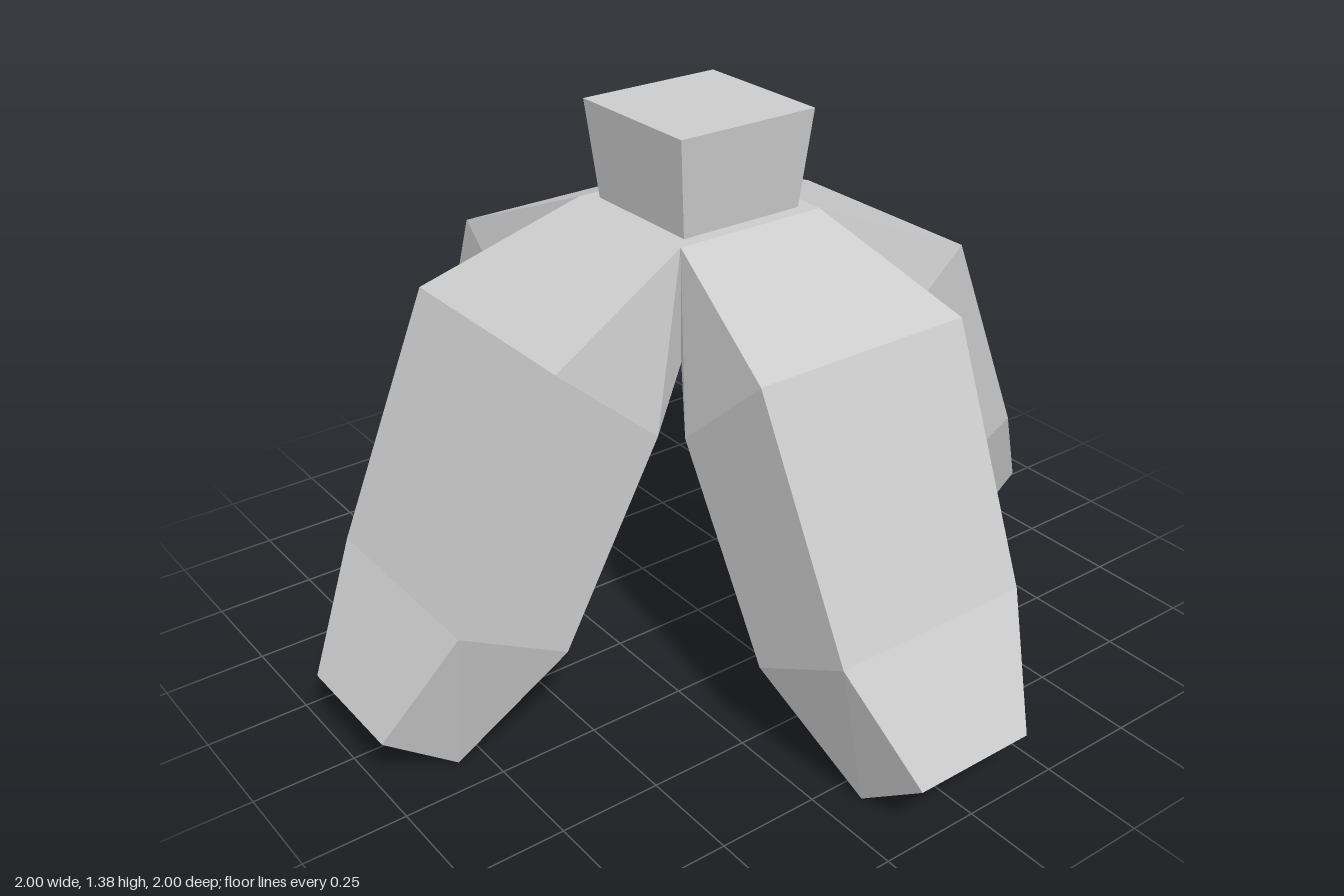
import * as THREE from 'three';

const grey = new THREE.MeshStandardMaterial({ color: 0xcccccc });
grey.name = 'light grey';

// Flat-shaded skin over four-cornered rings, closed at the last ring
function loft(name, rings) {
  const pos = [];
  const tri = (...pts) => pts.forEach((p) => pos.push(...p));
  for (let r = 0; r < rings.length - 1; r++) {
    const a = rings[r], b = rings[r + 1];
    for (let i = 0; i < 4; i++) {
      const j = (i + 1) % 4;
      if (i === 3) { // mirrored diagonal keeps both sides symmetric
        tri(a[i], b[i], a[j]);
        tri(b[i], b[j], a[j]);
      } else {
        tri(a[i], b[i], b[j]);
        tri(a[i], b[j], a[j]);
      }
    }
  }
  const e = rings[rings.length - 1];
  tri(e[0], e[3], e[2]);
  tri(e[0], e[2], e[1]);
  const geo = new THREE.BufferGeometry();
  geo.setAttribute('position', new THREE.Float32BufferAttribute(pos, 3));
  geo.computeVertexNormals();
  const mesh = new THREE.Mesh(geo, grey);
  mesh.name = name;
  return mesh;
}

// Horizontal square ring
const square = (w, y) => [[-w, y, -w], [w, y, -w], [w, y, w], [-w, y, w]];

// Slanted limb section: outer edge and inner edge as (reach, height)
const section = (w, outer, inner) => [
  [-w, outer[1], outer[0]], [w, outer[1], outer[0]],
  [w, inner[1], inner[0]], [-w, inner[1], inner[0]],
];

export function createModel() {
  const group = new THREE.Group();
  group.name = 'fourLeggedBody';

  // Shoulder deck and flared neck
  group.add(loft('neck', [square(0.2, 1.14), square(0.165, 1.14), square(0.188, 1.38)]));

  // Stepped recess on the underside, facing down
  const steps = [[0.2, 0.86], [0.2, 0.89], [0.08, 0.89], [0.08, 0.98]];
  group.add(loft('bellyRecess', steps.map(([w, y]) => square(w, y).reverse())));

  // Four identical bent legs
  const names = ['frontLeg', 'leftLeg', 'backLeg', 'rightLeg'];
  names.forEach((name, i) => {
    const leg = loft(name, [
      section(0.2, [0.2, 1.14], [0.2, 0.86]),
      section(0.287, [0.59, 0.98], [0.33, 0.75]),
      section(0.26, [0.845, 0.41], [0.57, 0.26]),
      section(0.16, [1.0, 0.14], [0.815, 0]),
    ]);
    leg.rotation.y = (i * Math.PI) / 2;
    group.add(leg);
  });

  return group;
}
